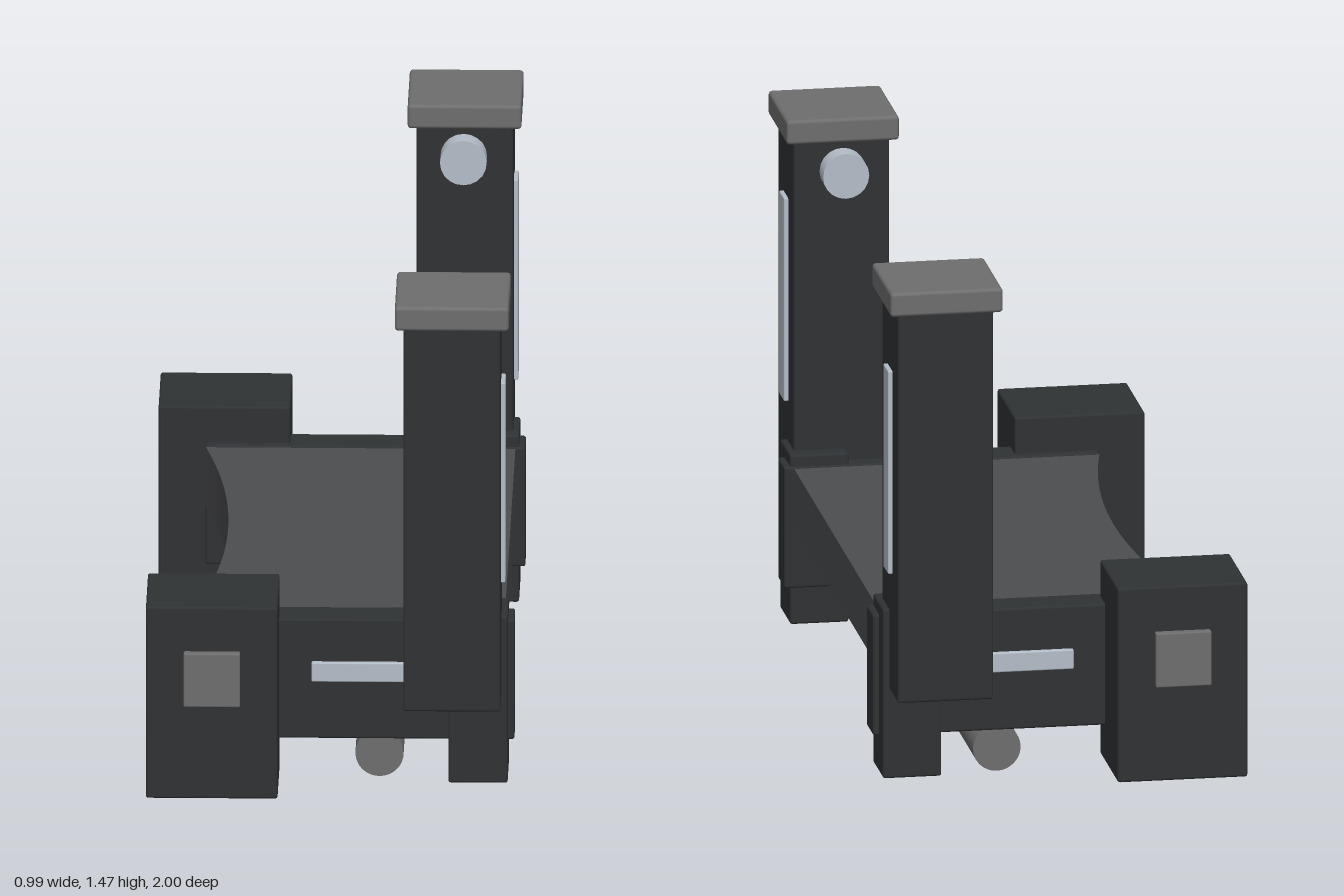
import * as THREE from 'three';
import { RoundedBoxGeometry } from 'three/addons/geometries/RoundedBoxGeometry.js';

const mat = (color) => new THREE.MeshStandardMaterial({ color });

export function createModel() {
  const model = new THREE.Group();
  model.name = 'frame';
  const dark = mat(0x2f3234), deckGrey = mat(0x4c4d4f), grey = mat(0x6e6e6e), pale = mat(0xb4bec8);

  const add = (parent, name, geometry, material) => {
    const mesh = new THREE.Mesh(geometry, material);
    mesh.name = name;
    parent.add(mesh);
    return mesh;
  };
  // Softly bevelled box given by its extents
  const box = (parent, name, material, [x0, x1], [y0, y1], [z0, z1], r = 0.007) => {
    const g = new RoundedBoxGeometry(x1 - x0, y1 - y0, z1 - z0, 2, r);
    add(parent, name, g, material).position.set((x0 + x1) / 2, (y0 + y1) / 2, (z0 + z1) / 2);
  };

  // Deck with a concave edge
  const outline = new THREE.Shape();
  outline.moveTo(-0.37, -0.67);
  outline.lineTo(0.465, -0.67);
  outline.lineTo(0.465, 0.67);
  outline.lineTo(-0.37, 0.67);
  outline.quadraticCurveTo(-0.22, 0, -0.37, -0.67);
  const deck = new THREE.ExtrudeGeometry(outline, { depth: 0.165, bevelEnabled: false, curveSegments: 32 });
  deck.rotateX(Math.PI / 2).translate(0, 0.5, 0);
  add(model, 'deck', deck, deckGrey);

  // Housing and roller beneath the deck
  box(model, 'underHousing', dark, [-0.065, 0.315], [0.085, 0.32], [-0.31, 0.31]);
  const roller = new THREE.CylinderGeometry(0.065, 0.065, 1.2, 32).rotateX(Math.PI / 2);
  add(model, 'roller', roller, grey).position.set(0.125, 0.066, 0);

  // Both ends carry the same parts, mirrored in z
  for (const s of [1, -1]) {
    const end = new THREE.Group();
    end.name = s > 0 ? 'frontEnd' : 'rearEnd';
    model.add(end);
    const part = (name, material, x, y, [a, b], r) =>
      box(end, name, material, x, y, s > 0 ? [a, b] : [-b, -a], r);

    part('sideRail', dark, [-0.37, 0.492], [0.165, 0.505], [0.665, 0.77]);
    part('railStrip', pale, [-0.055, 0.3], [0.33, 0.385], [0.755, 0.783], 0.004);
    part('leg', dark, [0.315, 0.475], [0.062, 0.537], [0.67, 0.833]);
    part('cornerBlock', dark, [-0.497, -0.142], [0.062, 0.607], [0.69, 0.977]);
    part('blockPad', grey, [-0.395, -0.243], [0.33, 0.482], [0.96, 1.0], 0.004);
    part('tower', dark, [0.197, 0.458], [0.312, 1.41], [0.713, 0.972]);
    part('towerCap', grey, [0.174, 0.481], [1.402, 1.47], [0.687, 0.994], 0.01);
    part('towerPanel', pale, [0.44, 0.47], [0.65, 1.22], [0.803, 0.883], 0.004);

    // Round knob on the tower's inner face
    const knob = new THREE.CylinderGeometry(0.063, 0.063, 0.08, 20).rotateX(Math.PI / 2);
    add(end, 'knob', knob, pale).position.set(0.325, 1.318, s * 0.693);
  }
  return model;
}
